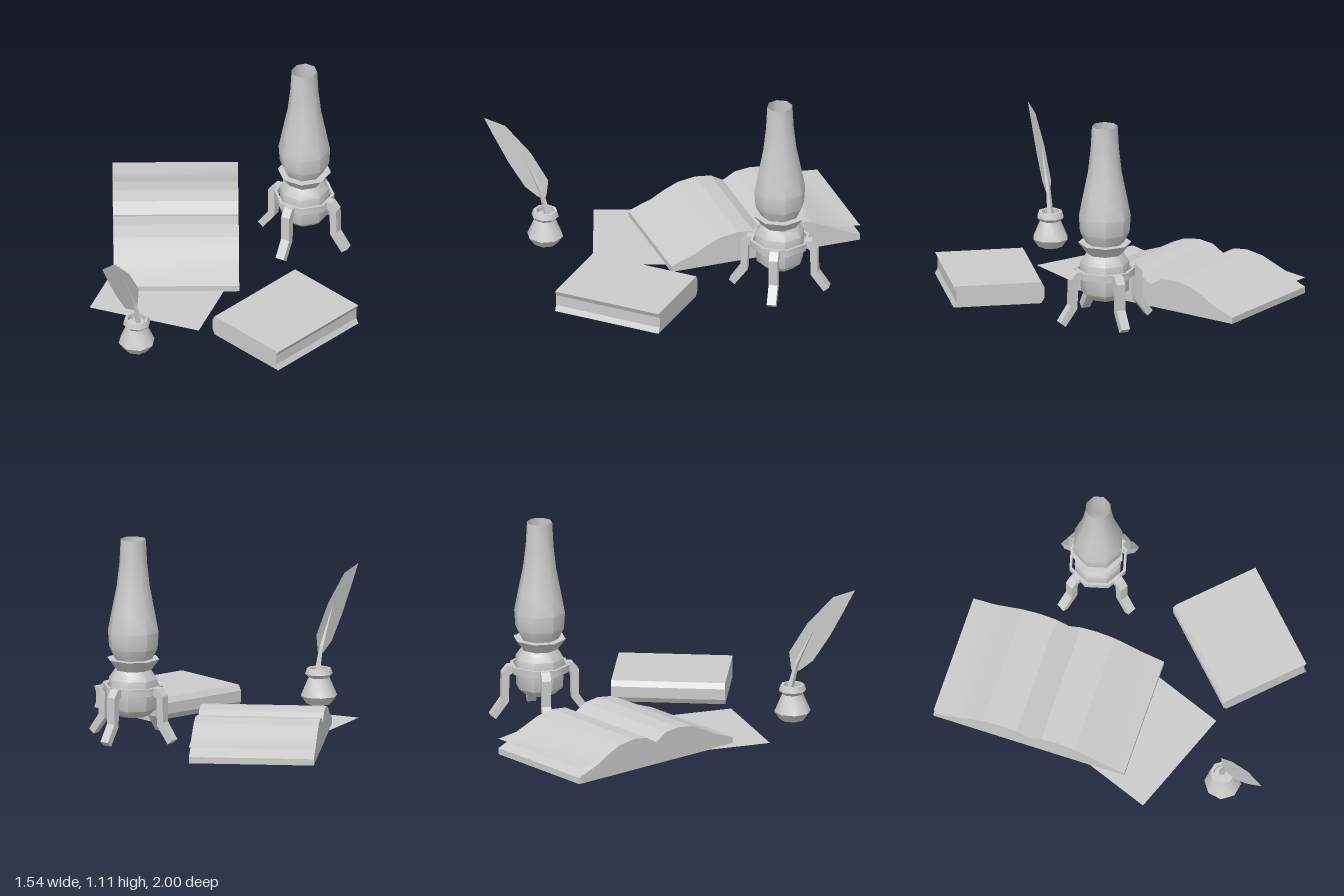
import * as THREE from 'three';
import { toCreasedNormals } from 'three/addons/utils/BufferGeometryUtils.js';

const material = new THREE.MeshStandardMaterial({ color: 0xcccccc, side: THREE.DoubleSide });

function mesh(name, geometry, crease = 0.4) {
  const m = new THREE.Mesh(toCreasedNormals(geometry, crease), material);
  m.name = name;
  return m;
}

function place(object, x, y, z, turn = 0) {
  object.position.set(x, y, z);
  object.rotation.y = turn;
  return object;
}

const shapeOf = (points) => new THREE.Shape(points.map(([x, y]) => new THREE.Vector2(x, y)));

const lathe = (points) => new THREE.LatheGeometry(points.map(([r, y]) => new THREE.Vector2(r, y)), 8);

// Open sheet that follows a profile, running along z
function sheet(points, depth) {
  const positions = [];
  for (let i = 0; i < points.length - 1; i++) {
    const [ax, ay] = points[i], [bx, by] = points[i + 1], h = depth / 2;
    positions.push(ax, ay, h, bx, by, h, bx, by, -h, ax, ay, h, bx, by, -h, ax, ay, -h);
  }
  const g = new THREE.BufferGeometry();
  g.setAttribute('position', new THREE.Float32BufferAttribute(positions, 3));
  return g;
}

// Bottomless book: covers and edges from a right-to-left profile, plus two end walls
function book(name, points, depth) {
  const group = new THREE.Group();
  group.name = name;
  group.add(mesh('coversAndPages', sheet(points, depth), 0.2));
  const front = mesh('pageEnd', new THREE.ShapeGeometry(shapeOf(points)));
  const back = mesh('pageEnd', new THREE.ShapeGeometry(shapeOf(points.map(([x, y]) => [-x, y]))));
  group.add(place(front, 0, 0, depth / 2), place(back, 0, 0, -depth / 2, Math.PI));
  return group;
}

function openBook() {
  const half = [[0.545, 0], [0.545, 0.035], [0.41, 0.085], [0.34, 0.125], [0.26, 0.16], [0.16, 0.175], [0.07, 0.165]];
  const mirrored = half.map(([x, y]) => [-x, y]).reverse();
  const group = book('openBook', [...half, [0, 0.125], ...mirrored], 0.68);
  // Page lifting off the far side
  group.add(mesh('liftedPage', sheet([[-0.26, 0.161], [-0.34, 0.13], [-0.42, 0.1], [-0.545, 0.088]], 0.68)));
  return place(group, -0.345, 0, -0.405, 0.17 - Math.PI / 2);
}

function closedBook() {
  // Concave page edge on one side, rounded spine on the other
  const profile = [[0.25, 0], [0.235, 0.03], [0.235, 0.09], [0.25, 0.12],
    [-0.232, 0.12], [-0.25, 0.09], [-0.25, 0.03], [-0.232, 0]];
  return place(book('closedBook', profile, 0.62), 0.385, 0, 0.377, -0.616);
}

function loosePage() {
  const page = mesh('loosePage', new THREE.PlaneGeometry(0.63, 0.46).rotateX(-Math.PI / 2));
  return place(page, -0.34, 0.004, 0.195, -0.19);
}

function inkBottle() {
  const bottle = mesh('inkBottle', lathe([[0, 0], [0.068, 0], [0.1, 0.045], [0.057, 0.145],
    [0.076, 0.165], [0.066, 0.195], [0.05, 0.195], [0.05, 0.165], [0, 0.165]]), 0.8);
  return place(bottle, -0.382, 0, 0.685, Math.PI / 8);
}

function quill() {
  const group = new THREE.Group();
  group.name = 'quill';
  const vane = [[0.02, 0.26], [0.06, 0.275], [0.13, 0.325], [0.22, 0.46], [0.3, 0.605],
    [0.36, 0.72], [0.24, 0.685], [0.1, 0.54], [0, 0.38], [0.01, 0.29]];
  group.add(mesh('vane', new THREE.ShapeGeometry(shapeOf(vane))));
  // Tapering shaft in two straight pieces
  const shaft = [[0.005, 0.165, 0.019], [0.04, 0.31, 0.013], [0.14, 0.52, 0.001]];
  for (let i = 0; i < 2; i++) {
    const [ax, ay, ar] = shaft[i], [bx, by, br] = shaft[i + 1];
    const piece = mesh('shaft', new THREE.CylinderGeometry(br, ar, Math.hypot(bx - ax, by - ay), 4, 1, true));
    piece.position.set((ax + bx) / 2, (ay + by) / 2, 0);
    piece.rotation.z = -Math.atan2(bx - ax, by - ay);
    group.add(piece);
  }
  return place(group, -0.372, 0, 0.67, -1.993);
}

function oilLamp() {
  const group = new THREE.Group();
  group.name = 'oilLamp';
  const turn = Math.PI / 8 - 0.35;
  const parts = {
    fuelTank: [[0, 0.135], [0.085, 0.135], [0.13, 0.175], [0.135, 0.34], [0.1, 0.39]],
    collar: [[0.1, 0.39], [0.145, 0.45], [0.105, 0.45], [0.09, 0.4], [0, 0.4]],
    chimney: [[0.105, 0.45], [0.135, 0.51], [0.141, 0.6], [0.118, 0.72], [0.092, 0.85], [0.077, 0.98], [0.07, 1.11]],
    legRing: [[0.15, 0.265], [0.165, 0.265], [0.165, 0.305], [0.15, 0.305], [0.15, 0.265]],
  };
  for (const [name, points] of Object.entries(parts)) {
    group.add(place(mesh(name, lathe(points), 0.8), 0, 0, 0, turn));
  }
  // Four bent legs hanging from the ring
  const leg = shapeOf([[0.15, 0.265], [0.17, 0.25], [0.174, 0.1], [0.245, 0.005], [0.275, 0.03],
    [0.213, 0.12], [0.212, 0.265], [0.178, 0.305], [0.15, 0.305]]);
  const geometry = new THREE.ExtrudeGeometry(leg, { depth: 0.05, bevelEnabled: false }).translate(0, 0, -0.025);
  for (let i = 0; i < 4; i++) group.add(place(mesh('leg', geometry), 0, 0, 0, -0.35 + i * Math.PI / 2));
  return place(group, 0.35, 0, -0.475);
}

export function createModel() {
  const model = new THREE.Group();
  model.name = 'writingDeskSet';
  model.add(openBook(), closedBook(), loosePage(), inkBottle(), quill(), oilLamp());
  return model;
}
